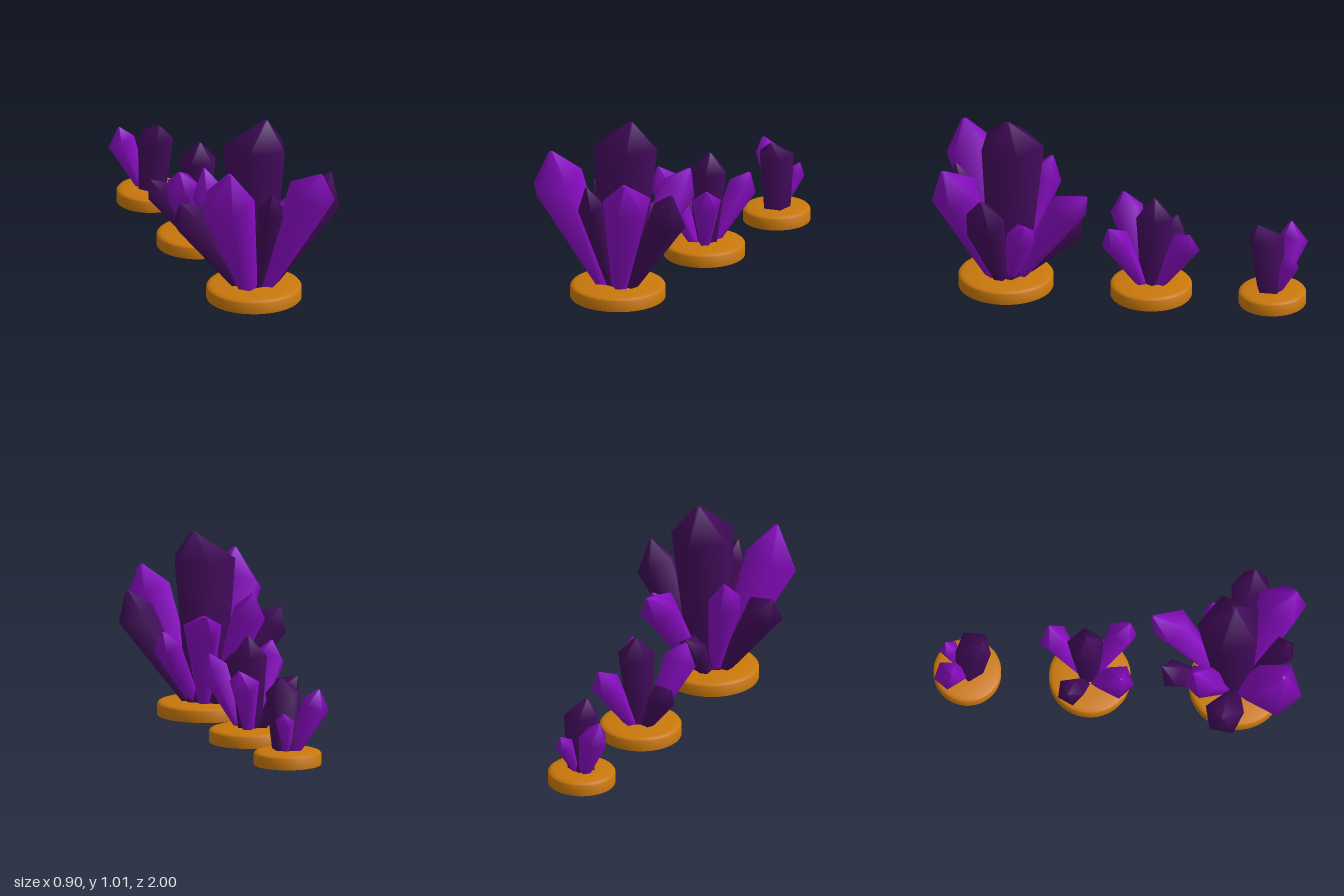
import * as THREE from 'three';
import { mergeVertices, toCreasedNormals } from 'three/addons/utils/BufferGeometryUtils.js';

const V = (a) => new THREE.Vector3(...a);
const SIDES = 5;

const light = new THREE.MeshStandardMaterial({ color: 0x8a0cc4 });
const dark = new THREE.MeshStandardMaterial({ color: 0x430a5c });
const amber = new THREE.MeshStandardMaterial({ color: 0xc9780c });

// Five-sided crystal with soft edges: narrow foot, wide shoulder ring, blunt tip
function crystalGeometry(foot, shoulder, tip, radius, footRatio, out, twist) {
  const axis = shoulder.clone().sub(foot).normalize();
  const o = out.clone().addScaledVector(axis, -out.dot(axis)).normalize();
  const s = axis.clone().cross(o);
  const ring = (centre, r) => Array.from({ length: SIDES }, (_, i) => {
    const a = twist + (i / SIDES) * Math.PI * 2;
    return centre.clone().addScaledVector(o, r * Math.cos(a)).addScaledVector(s, r * Math.sin(a));
  });
  const low = ring(foot, radius * footRatio);
  const high = ring(shoulder, radius);
  const end = ring(tip, radius * 0.09);
  const points = [];
  for (let i = 0; i < SIDES; i++) {
    const j = (i + 1) % SIDES;
    points.push(low[i], low[j], high[j], low[i], high[j], high[i]);
    points.push(high[i], high[j], end[j], high[i], end[j], end[i]);
    points.push(end[i], end[j], tip);
    points.push(low[j], low[i], foot);
  }
  const geometry = mergeVertices(new THREE.BufferGeometry().setFromPoints(points));
  geometry.computeVertexNormals();
  return geometry;
}

// Round plinth with a softened upper rim
function plinthGeometry(r) {
  const profile = [
    [0, 0], [r, 0], [r, 0.06], [r - 0.006, 0.068], [r - 0.025, 0.074], [r * 0.5, 0.08], [0, 0.08],
  ].map(([x, y]) => new THREE.Vector2(x, y));
  return toCreasedNormals(new THREE.LatheGeometry(profile, 48), 1);
}

// Crystals: [material, shoulder centre, tip, shoulder radius]; the first is the main one
const CLUSTERS = [
  {
    name: 'largeCluster', centre: [-0.015, 0.632], radius: 0.257, mainFoot: 0.6, mainTwist: 0,
    crystals: [
      [dark, [0.012, 0.86, 0.6], [0.058, 1.005, 0.615], 0.18],
      [light, [-0.265, 0.675, 0.855], [-0.27, 0.85, 0.9], 0.152],
      [light, [0.225, 0.645, 0.87], [0.25, 0.78, 0.94], 0.137],
      [dark, [-0.015, 0.59, 0.88], [-0.025, 0.7, 0.91], 0.075],
      [dark, [0.36, 0.55, 0.7], [0.4, 0.685, 0.71], 0.112],
      [dark, [-0.37, 0.495, 0.58], [-0.42, 0.575, 0.575], 0.11],
      [light, [0.115, 0.54, 0.275], [0.13, 0.625, 0.175], 0.108],
      [dark, [-0.085, 0.33, 0.285], [-0.075, 0.4, 0.235], 0.08],
      [light, [-0.205, 0.57, 0.45], [-0.215, 0.69, 0.41], 0.095],
      [light, [0.235, 0.415, 0.51], [0.27, 0.49, 0.49], 0.083],
    ],
  },
  {
    name: 'mediumCluster', centre: [-0.015, -0.158], radius: 0.22, mainFoot: 0.6, mainTwist: -0.2,
    crystals: [
      [dark, [0.002, 0.475, -0.18], [0.005, 0.578, -0.178], 0.104],
      [light, [0.085, 0.355, -0.36], [0.12, 0.43, -0.385], 0.085],
      [light, [-0.172, 0.42, 0], [-0.195, 0.51, 0.02], 0.095],
      [light, [0.125, 0.37, 0.015], [0.15, 0.45, 0.05], 0.083],
      [dark, [-0.2, 0.305, -0.255], [-0.245, 0.365, -0.265], 0.078],
    ],
  },
  {
    name: 'smallCluster', centre: [-0.015, -0.818], radius: 0.182, mainFoot: 0.75, mainTwist: 0.3,
    crystals: [
      [dark, [0, 0.385, -0.785], [0, 0.458, -0.74], 0.1],
      [light, [-0.143, 0.33, -0.918], [-0.165, 0.415, -0.9], 0.08],
      [light, [0.035, 0.25, -0.92], [0.05, 0.3, -0.94], 0.053],
    ],
  },
];

function createCluster({ name, centre: [cx, cz], radius, mainFoot, mainTwist, crystals }) {
  const group = new THREE.Group();
  group.name = name;

  const plinth = new THREE.Mesh(plinthGeometry(radius), amber);
  plinth.name = 'plinth';
  plinth.position.set(cx, 0, cz);
  group.add(plinth);

  const heart = new THREE.Vector3(cx, 0.04, cz);
  crystals.forEach(([material, shoulder, tip, r], i) => {
    const main = i === 0;
    const top = V(shoulder);
    const lean = top.clone().sub(heart).setY(0);
    // Side crystals fan out from near the middle, one facet facing outward
    const foot = heart.clone().addScaledVector(lean, main ? 0.3 : 0.17);
    const geometry = main
      ? crystalGeometry(foot, top, V(tip), r, mainFoot, V([0, 0, -1]), mainTwist)
      : crystalGeometry(foot, top, V(tip), r, 0.3, lean, Math.PI / SIDES);
    const mesh = new THREE.Mesh(geometry, material);
    mesh.name = main ? 'mainCrystal' : `sideCrystal${i}`;
    group.add(mesh);
  });
  return group;
}

export function createModel() {
  const model = new THREE.Group();
  model.name = 'crystalClusters';
  CLUSTERS.forEach((cluster) => model.add(createCluster(cluster)));
  return model;
}
